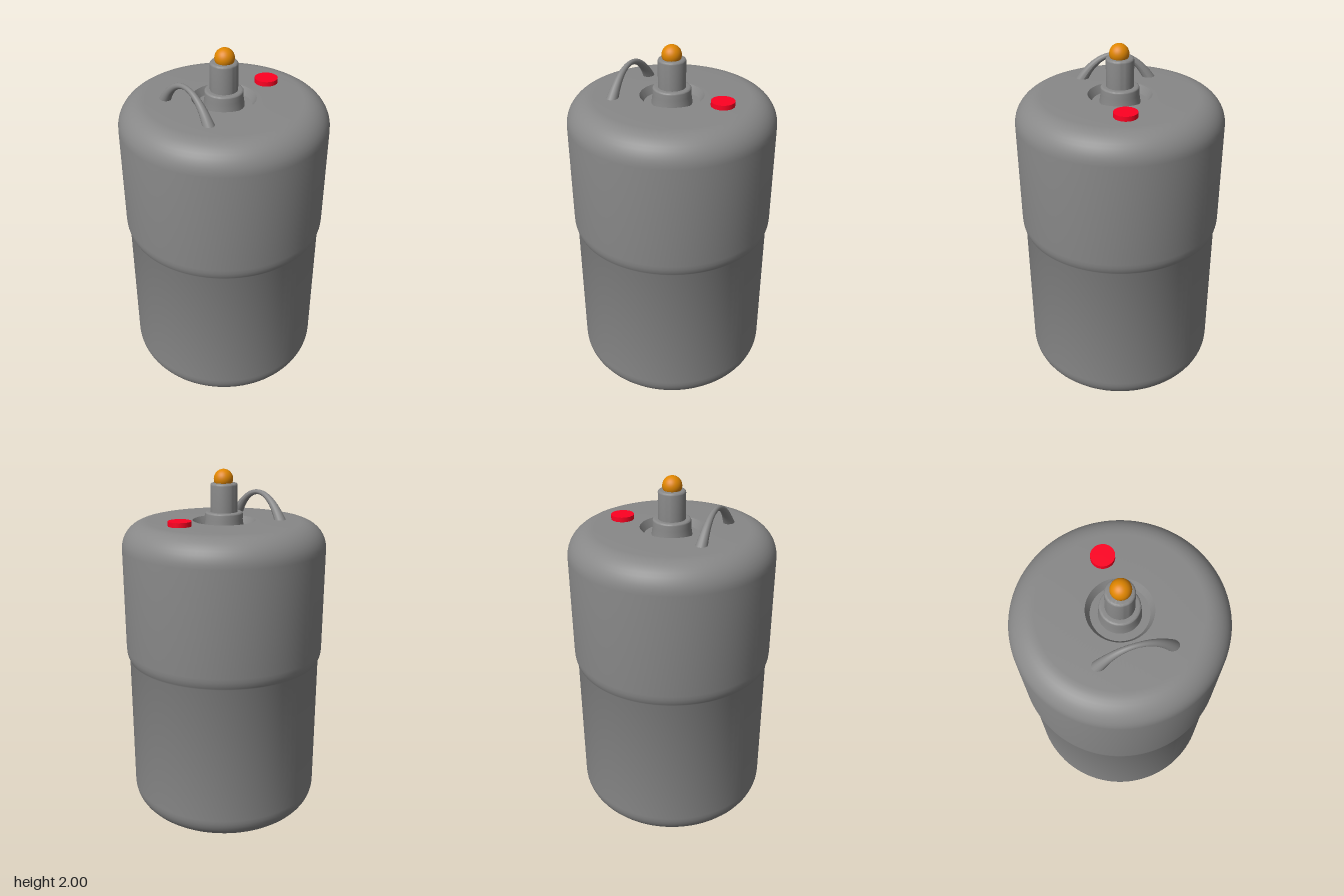
import * as THREE from 'three';
import { toCreasedNormals } from 'three/addons/utils/BufferGeometryUtils.js';

const paint = (color) => new THREE.MeshStandardMaterial({ color });
const grey = paint(0x888888);
const red = paint(0xff0022);
const orange = paint(0xe08600);

function part(name, geometry, material = grey) {
  const mesh = new THREE.Mesh(geometry, material);
  mesh.name = name;
  return mesh;
}

// Lathe from [radius, height] pairs, listed from bottom axis to top axis
function turned(name, points, segments) {
  const profile = points.map(([r, y]) => new THREE.Vector2(r, y));
  return part(name, toCreasedNormals(new THREE.LatheGeometry(profile, segments), 0.55));
}

// Rounded-corner profile points about a centre
function arc(cx, cy, radius, from, to, steps = 10) {
  return Array.from({ length: steps + 1 }, (_, i) => {
    const a = THREE.MathUtils.degToRad(from + ((to - from) * i) / steps);
    return [cx + radius * Math.cos(a), cy + radius * Math.sin(a)];
  });
}

// Arched handle, thick at the feet and thin at the crown
function createHandle() {
  const path = new THREE.CubicBezierCurve3(
    new THREE.Vector3(-0.268, 1.715, 0.158),
    new THREE.Vector3(-0.25, 1.91, 0.05),
    new THREE.Vector3(-0.232, 1.91, -0.11),
    new THREE.Vector3(-0.214, 1.715, -0.216)
  );
  const rows = 40, sides = 16;
  const geometry = new THREE.TubeGeometry(path, rows, 1, sides);
  const pos = geometry.attributes.position;
  const v = new THREE.Vector3();
  for (let i = 0; i < pos.count; i++) {
    const t = Math.floor(i / (sides + 1)) / rows;
    const centre = path.getPointAt(t);
    const radius = 0.013 + 0.019 * Math.pow(Math.abs(2 * t - 1), 1.5);
    v.fromBufferAttribute(pos, i).sub(centre).multiplyScalar(radius).add(centre);
    pos.setXYZ(i, v.x, v.y, v.z);
  }
  geometry.computeVertexNormals();
  return part('handle', geometry);
}

export function createModel() {
  const model = new THREE.Group();
  model.name = 'canister';

  // Body with a recess in both ends and a slightly wider upper shell
  model.add(turned('body', [
    [0, 0.092], [0.18, 0.092], [0.21, 0.063],
    ...arc(0.391, 0.203, 0.14, -90, 0),
    [0.531, 0.975], [0.535, 0.983], [0.541, 0.998], [0.5455, 1.018], [0.547, 1.04],
    ...arc(0.407, 1.595, 0.14, 0, 90),
    [0.167, 1.735], [0.145, 1.695], [0, 1.695]
  ], 96));

  // Stem with collar in the top recess
  model.add(turned('stem', [
    [0.107, 1.69], [0.1, 1.74],
    ...arc(0.09, 1.77, 0.01, 0, 90, 4),
    [0.072, 1.78],
    ...arc(0.06, 1.917, 0.012, 0, 90, 5),
    [0, 1.929]
  ], 48));

  const tip = part('stemTip', new THREE.SphereGeometry(0.051, 32, 20), orange);
  tip.position.set(0, 1.949, 0.004);
  model.add(tip);

  const button = part('button', new THREE.CylinderGeometry(0.061, 0.061, 0.045, 40), red);
  button.position.set(0.286, 1.7375, 0.037);
  model.add(button);

  model.add(createHandle());

  // Tapered hollow-tipped feet, and a matching stub in the bottom recess
  const footProfile = [[0, 0.02], [0.018, 0.02], [0.021, 0], [0.034, 0], [0.049, 0.07]];
  for (let i = 0; i < 3; i++) {
    const a = -Math.PI / 4 + (i * 2 * Math.PI) / 3;
    const foot = turned('foot', footProfile, 28);
    foot.position.set(0.29 * Math.cos(a), 0, 0.29 * Math.sin(a));
    model.add(foot);
  }
  model.add(turned('bottomStub', [
    [0, 0.08], [0.024, 0.08], [0.028, 0.063], [0.045, 0.063], [0.066, 0.095]
  ], 32));

  return model;
}
